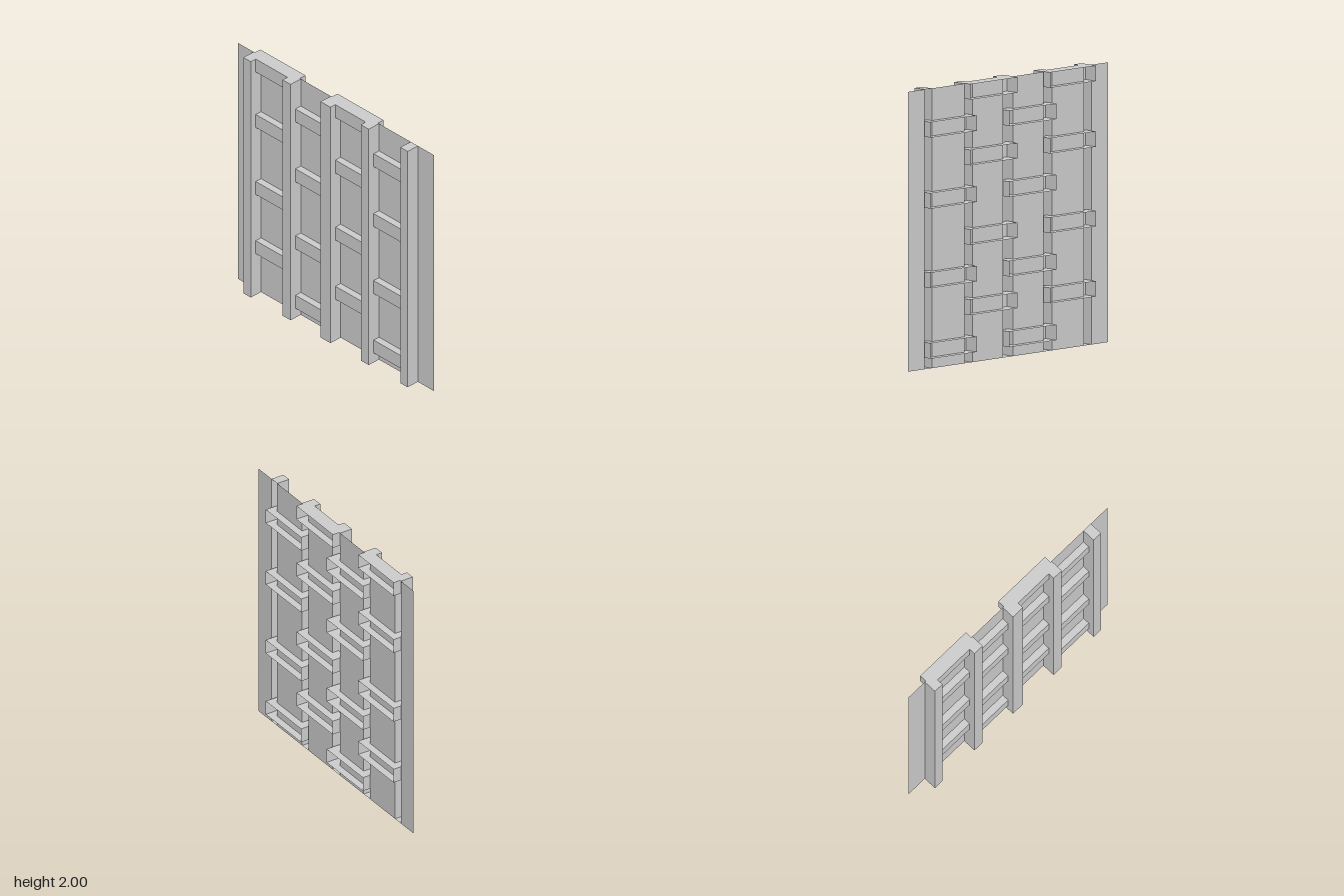
import * as THREE from 'three';

const material = new THREE.MeshStandardMaterial({ color: 0xcccccc, flatShading: true, side: THREE.DoubleSide });

const HEIGHT = 2;
const PANEL_Z = -0.023;   // plane of the thin sheet
const POST_FRONT = 0.078;
const SLAT_FRONT = 0.03;
const SLAT_BACK = -0.078;
const SLAT_HEIGHT = 0.11;

// Box without its rear face, given by its limits
function openBox(name, x0, x1, y0, y1, z0, z1) {
  const geometry = new THREE.BoxGeometry(x1 - x0, y1 - y0, z1 - z0);
  geometry.setIndex(Array.from(geometry.index.array).slice(0, 30)); // the last six indices are the rear face
  geometry.clearGroups();
  const mesh = new THREE.Mesh(geometry, material);
  mesh.position.set((x0 + x1) / 2, (y0 + y1) / 2, (z0 + z1) / 2);
  mesh.name = name;
  return mesh;
}

export function createModel() {
  const model = new THREE.Group();
  model.name = 'battenedWall';

  // Left and right edge of every upright
  const posts = [[-0.838, -0.763], [-0.44, -0.358], [-0.052, 0.048], [0.357, 0.438], [0.76, 0.834]];

  // Hollow uprights, open at the rear
  const postGroup = new THREE.Group();
  postGroup.name = 'posts';
  for (const [x0, x1] of posts) {
    postGroup.add(openBox('post', x0, x1, 0, HEIGHT, PANEL_Z, POST_FRONT));
  }

  // Thin sheet, filling the gaps beside and between the uprights
  const panelGroup = new THREE.Group();
  panelGroup.name = 'panel';
  const edges = [-1, ...posts.flat(), 1];
  for (let i = 0; i < edges.length; i += 2) {
    const strip = new THREE.Mesh(new THREE.PlaneGeometry(edges[i + 1] - edges[i], HEIGHT), material);
    strip.position.set((edges[i] + edges[i + 1]) / 2, HEIGHT / 2, PANEL_Z);
    strip.name = 'panelStrip';
    panelGroup.add(strip);
  }

  // Hollow cross slats, staggered from bay to bay and running through the uprights
  const slatGroup = new THREE.Group();
  slatGroup.name = 'slats';
  const highRows = [0.35, 0.852, 1.42, 1.89];
  const lowRows = [0.08, 0.584, 1.152, 1.66];
  const inset = 0.01;
  for (let bay = 0; bay < 4; bay++) {
    const x0 = posts[bay][0] + inset;
    const x1 = posts[bay + 1][1] - inset;
    for (const y of bay % 2 ? lowRows : highRows) {
      slatGroup.add(openBox('slat', x0, x1, y, y + SLAT_HEIGHT, SLAT_BACK, SLAT_FRONT));
    }
  }

  model.add(panelGroup, postGroup, slatGroup);
  return model;
}
